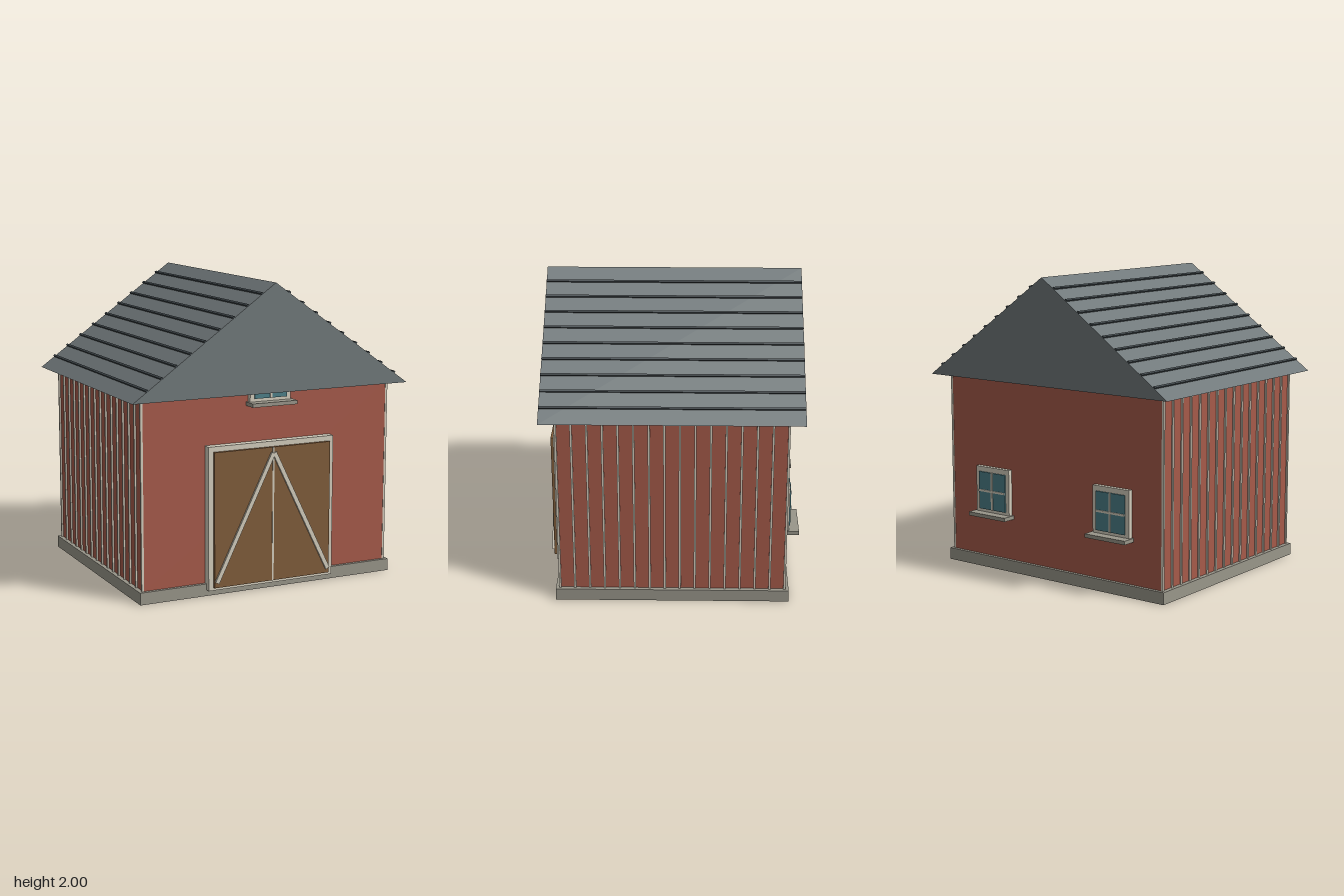
import * as THREE from 'three';

const mat = (color) => new THREE.MeshStandardMaterial({ color, flatShading: true });

export function createModel() {
  const barn = new THREE.Group();
  barn.name = 'barn';
  const red = mat(0xa65a4a), cream = mat(0xd3cdbd), stone = mat(0x99968a);
  const slate = mat(0x70787a), darkSlate = mat(0x40484c);
  const wood = mat(0x805c3a), glass = mat(0x4c7f88);

  // Box given by its centre and size
  function box(name, material, [x, y, z], [w, h, d], parent = barn) {
    const mesh = new THREE.Mesh(new THREE.BoxGeometry(w, h, d), material);
    mesh.position.set(x, y, z);
    mesh.name = name;
    parent.add(mesh);
    return mesh;
  }

  // Foundation and walls
  box('foundation', stone, [0, 0.04, 0], [1.82, 0.08, 1.53]);
  box('walls', red, [0, 0.69, 0], [1.76, 1.22, 1.484]);

  // Vertical battens on both long walls
  for (const side of [-1, 1]) {
    for (let i = 0; i < 16; i++) {
      box('batten', cream, [side * 0.883, 0.69, -0.737 + i * 1.474 / 15], [0.016, 1.22, 0.014]);
    }
  }

  // Solid gable roof
  const eave = 0.98, base = 1.3, ridge = 2, roofDepth = 1.675;
  const gable = new THREE.Shape();
  gable.moveTo(-eave, base);
  gable.lineTo(eave, base);
  gable.lineTo(0, ridge);
  gable.closePath();
  const roofGeometry = new THREE.ExtrudeGeometry(gable, { depth: roofDepth, bevelEnabled: false });
  roofGeometry.translate(0, 0, -roofDepth / 2);
  const roof = new THREE.Mesh(roofGeometry, slate);
  roof.name = 'roof';
  barn.add(roof);

  // Standing seams running along the roof
  const slope = (ridge - base) / eave;
  for (const side of [-1, 1]) {
    for (let i = 1; i <= 9; i++) {
      const x = i * 0.098;
      const seam = box('roofSeam', darkSlate, [side * x, ridge - slope * x + 0.004, 0], [0.014, 0.016, roofDepth]);
      seam.rotation.z = -side * Math.atan(slope);
    }
  }

  // Double door with frame, centre strip and diagonal braces
  const door = new THREE.Group();
  door.name = 'door';
  barn.add(door);
  box('doorFrame', cream, [0, 0.51, 0.767], [0.9, 0.94, 0.06], door);
  box('doorPanel', wood, [0, 0.503, 0.804], [0.834, 0.885, 0.026], door);
  box('doorCentreStrip', cream, [0, 0.503, 0.814], [0.012, 0.885, 0.012], door);
  for (const side of [-1, 1]) {
    const dx = 0.4, dy = 0.815;
    const brace = box('doorBrace', cream, [side * 0.204, 0.502, 0.822], [0.028, Math.hypot(dx, dy), 0.018], door);
    brace.rotation.z = side * Math.atan2(dx, dy);
  }

  // Four-pane window with a deep sill, facing +z before turning
  function addWindow(name, x, y, z, turn) {
    const group = new THREE.Group();
    group.name = name;
    group.position.set(x, y, z);
    group.rotation.y = turn;
    box('windowFrame', cream, [0, 0, 0.012], [0.29, 0.325, 0.034], group);
    box('windowGlass', glass, [0, 0, 0.032], [0.23, 0.255, 0.012], group);
    box('muntinVertical', cream, [0, 0, 0.037], [0.014, 0.255, 0.012], group);
    box('muntinHorizontal', cream, [0, 0, 0.037], [0.23, 0.014, 0.012], group);
    box('windowSill', stone, [0, -0.16, 0.047], [0.32, 0.025, 0.097], group);
    barn.add(group);
  }
  addWindow('loftWindow', 0, 1.388, 0.742, 0);
  for (const x of [-0.5, 0.5]) addWindow('backWindow', x, 0.533, -0.742, Math.PI);

  return barn;
}
